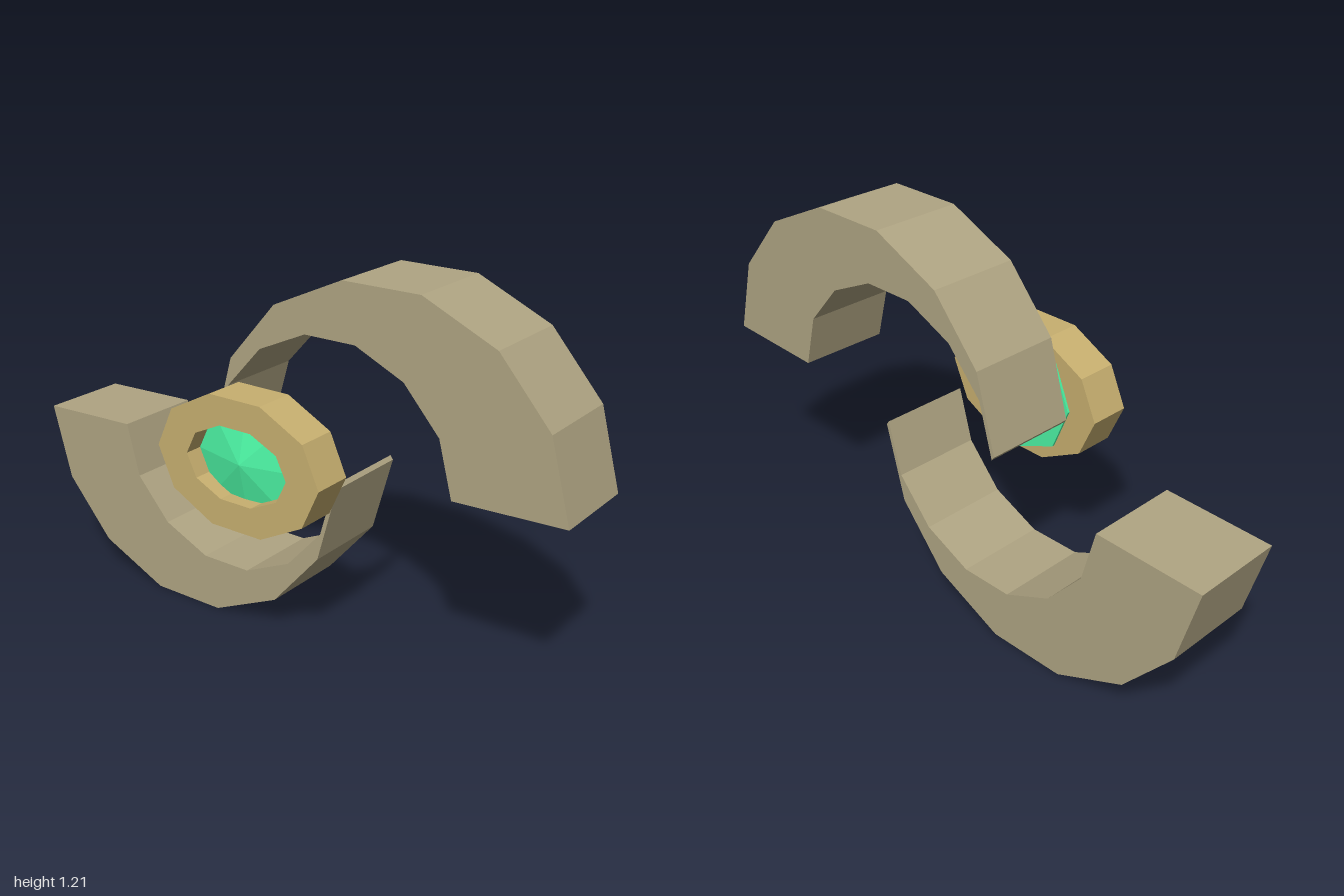
import * as THREE from 'three';

const mat = (color) => new THREE.MeshStandardMaterial({ color, flatShading: true });

// Straight-sided extrusion between two z positions
function slab(shape, back, front) {
  const g = new THREE.ExtrudeGeometry(shape, { depth: front - back, bevelEnabled: false });
  return g.translate(0, 0, back);
}

// Points of an n-sided ellipse with a corner on the x axis
function ellipse(n, rx, ry) {
  return Array.from({ length: n }, (_, i) => {
    const a = (i / n) * Math.PI * 2;
    return new THREE.Vector2(rx * Math.cos(a), ry * Math.sin(a));
  });
}

export function createModel() {
  const model = new THREE.Group();
  const armMat = mat(0xb0a583), ringMat = mat(0xc8b070), gemMat = mat(0x4df5a5);
  const armCentreY = 0.608, hubY = 0.643;

  // Crescent arms: thick at the free end, tapering towards the hub
  const outer = [[-0.24, 0.65], [-0.17, 0.905], [0, 1.103], [0.245, 1.215],
    [0.51, 1.215], [0.755, 1.103], [0.927, 0.905], [0.998, 0.65]];
  const inner = [[0.635, 0.637], [0.587, 0.815], [0.463, 0.955], [0.295, 1.032],
    [0.115, 1.032], [-0.055, 0.955], [-0.18, 0.815], [-0.23, 0.637]];
  const crescent = new THREE.Shape(
    [...outer, ...inner].map(([x, y]) => new THREE.Vector2(x, y - armCentreY)));
  const armGeo = slab(crescent, -0.25, 0.06);
  ['upperArm', 'lowerArm'].forEach((name, i) => {
    const arm = new THREE.Mesh(armGeo, armMat);
    arm.name = name;
    arm.position.y = armCentreY;
    arm.rotation.z = i * Math.PI;
    model.add(arm);
  });

  // Ten-sided oval ring
  const ringShape = new THREE.Shape(ellipse(10, 0.31, 0.2235));
  ringShape.holes.push(new THREE.Path(ellipse(10, 0.192, 0.126).reverse()));
  const ring = new THREE.Mesh(slab(ringShape, 0.112, 0.25), ringMat);
  ring.name = 'ring';
  ring.position.y = hubY;
  model.add(ring);

  // Eight-sided gem: flat back, straight girdle, shallow pointed front
  const profile = [[0, 0.104], [0.207, 0.104], [0.207, 0.185], [0, 0.232]];
  const gemGeo = new THREE.LatheGeometry(profile.map(([r, z]) => new THREE.Vector2(r, z)), 8);
  gemGeo.rotateX(Math.PI / 2);
  const gem = new THREE.Mesh(gemGeo, gemMat);
  gem.name = 'gem';
  gem.position.y = hubY;
  model.add(gem);

  return model;
}
